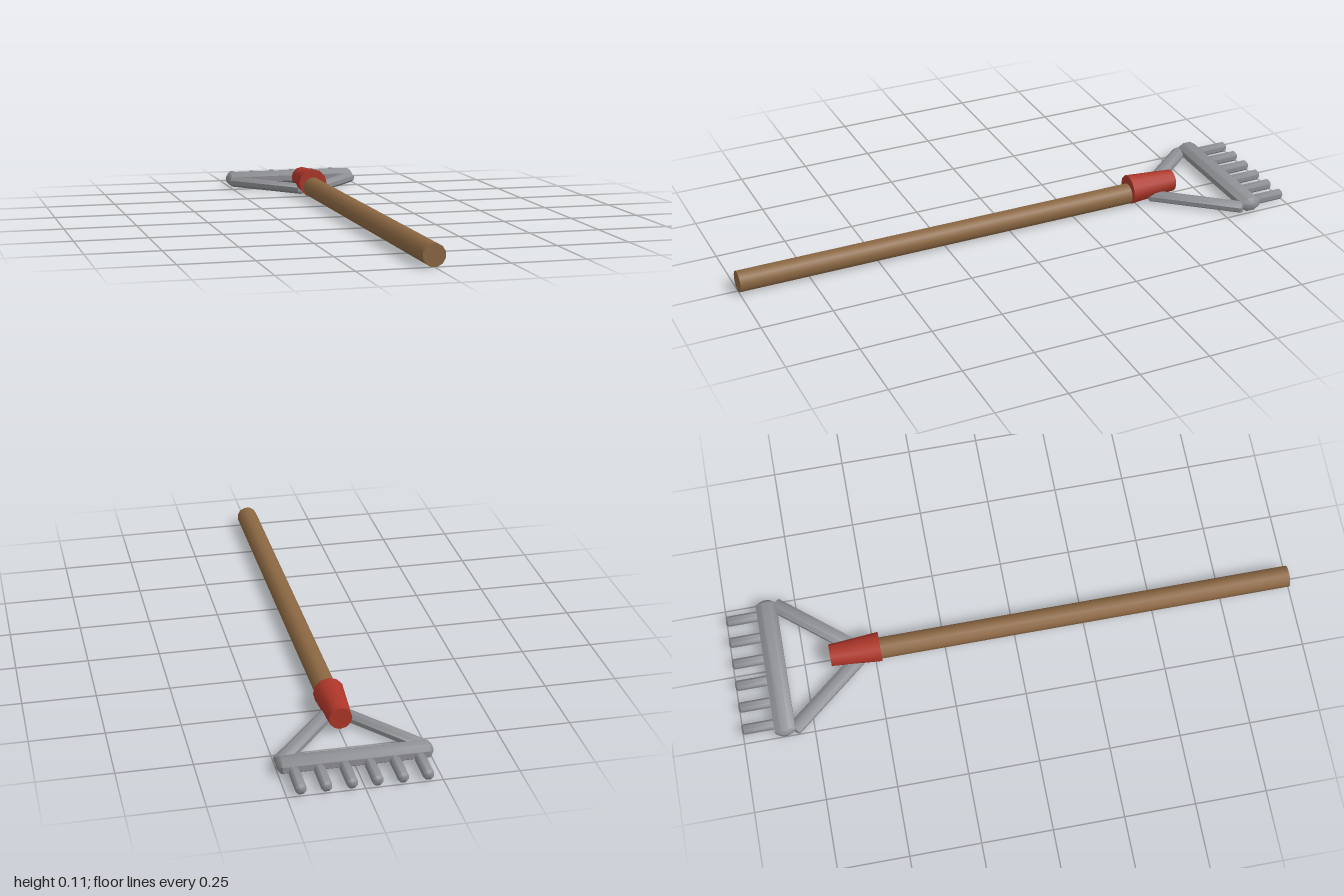
import * as THREE from 'three';
import { toCreasedNormals } from 'three/addons/utils/BufferGeometryUtils.js';

const material = (name, color) => {
  const m = new THREE.MeshStandardMaterial({ color });
  m.name = name;
  return m;
};

// Solid rod along +z from z = 0, eight-sided, with chamfered ends
function rodGeometry(length, width, height, chamfer) {
  const k = 1 / Math.cos(Math.PI / 8);
  const inner = k * (1 - chamfer / (Math.min(width, height) / 2));
  const points = [
    [0, 0], [inner, 0], [k, chamfer], [k, length - chamfer], [inner, length], [0, length],
  ].map(([r, y]) => new THREE.Vector2(r, y));
  const g = new THREE.LatheGeometry(points, 8, Math.PI / 8);
  g.rotateX(Math.PI / 2);
  g.scale(width / 2, height / 2, 1);
  return toCreasedNormals(g, 0.9);
}

export function createModel() {
  const wood = material('wood', 0x8b6742);
  const red = material('red paint', 0xad3629);
  const steel = material('steel', 0x8f9094);
  const rake = new THREE.Group();
  rake.name = 'rake';

  const add = (name, geometry, mat, x, y, z, turn = 0) => {
    const mesh = new THREE.Mesh(geometry, mat);
    mesh.name = name;
    mesh.position.set(x, y, z);
    mesh.rotation.y = turn;
    rake.add(mesh);
  };

  // Long wooden handle, ending inside the socket
  const handle = new THREE.CylinderGeometry(0.038, 0.038, 1.5, 12);
  handle.rotateY(Math.PI / 12).rotateX(Math.PI / 2);
  add('handle', handle, wood, 0, 0.038, 0.25);

  // Tapered socket, narrow towards the head
  const socket = new THREE.CylinderGeometry(0.053, 0.039, 0.178, 12);
  socket.rotateX(Math.PI / 2);
  add('socket', socket, red, 0, 0.054, -0.566);

  // Crossbar
  const bar = rodGeometry(0.506, 0.072, 0.05, 0.014);
  bar.translate(0, 0, -0.253).rotateY(Math.PI / 2);
  add('crossbar', bar, steel, 0, 0.028, -0.852);

  // Two diagonal braces from the socket to the crossbar ends
  for (const side of [-1, 1]) {
    const dx = side * 0.217, dz = -0.265;
    add(side > 0 ? 'leftBrace' : 'rightBrace', rodGeometry(Math.hypot(dx, dz), 0.05, 0.036, 0.004),
      steel, side * 0.019, 0.021, -0.557, Math.atan2(dx, dz));
  }

  // Six tines
  const tine = rodGeometry(0.116, 0.034, 0.035, 0.006);
  for (let i = 0; i < 6; i++) {
    add('tine' + (i + 1), tine, steel, (i - 2.5) * 0.0815, 0.021, -1);
  }
  return rake;
}
